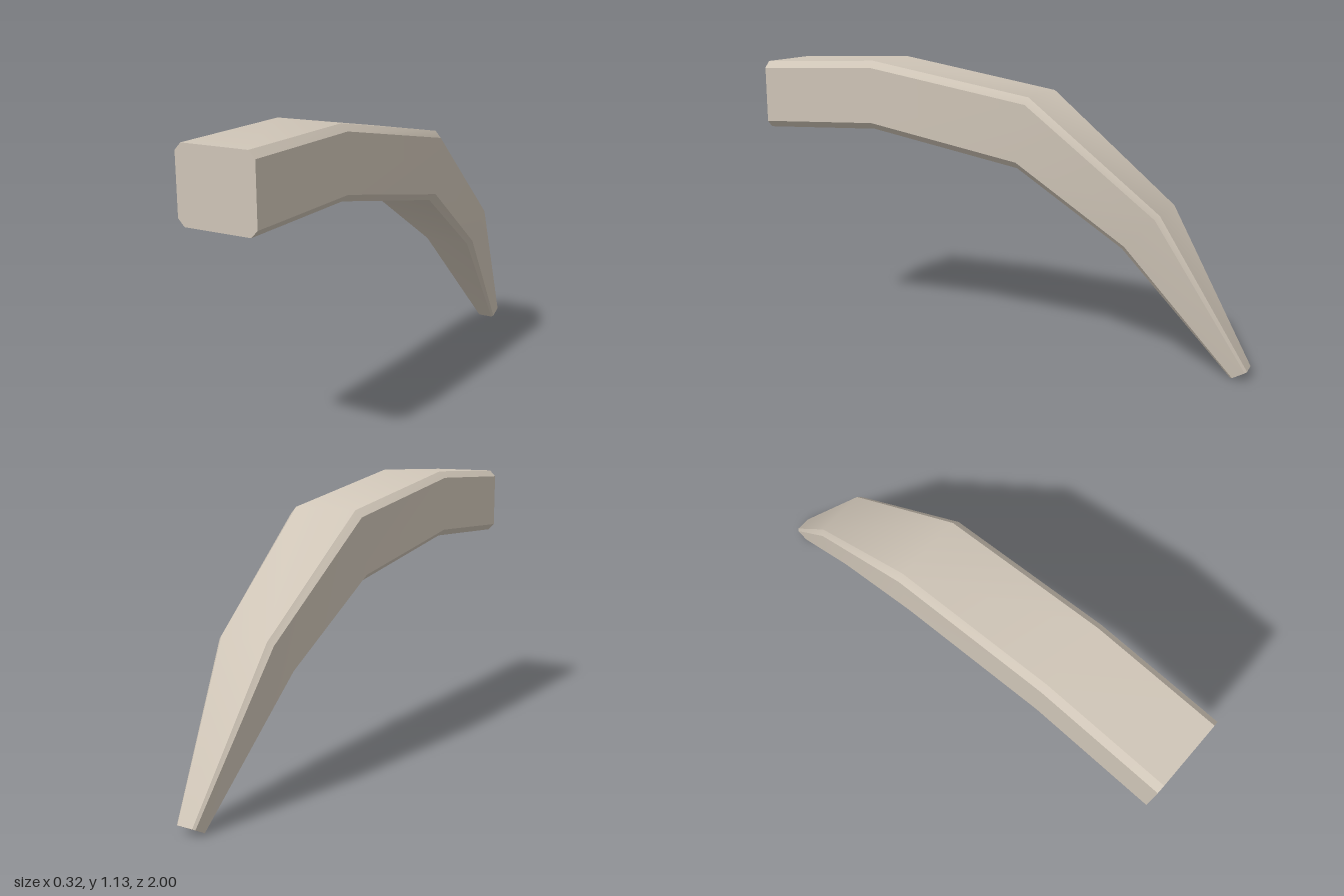
import * as THREE from 'three';

// Stations along the curve: top (z, y), bottom (z, y), half width, corner chamfer
const STATIONS = [
  { top: [1.0, 1.112], bottom: [1.0, 0.84], half: 0.16, chamfer: 0.026 },
  { top: [0.5, 1.13], bottom: [0.5, 0.86], half: 0.16, chamfer: 0.026 },
  { top: [-0.165, 1.018], bottom: [-0.12, 0.748], half: 0.16, chamfer: 0.026 },
  { top: [-0.67, 0.608], bottom: [-0.53, 0.47], half: 0.118, chamfer: 0.019 },
  { top: [-1.0, 0.037], bottom: [-0.94, 0.003], half: 0.04, chamfer: 0.008 },
];

// Chamfered rectangle, counterclockwise seen from the front
function ring({ top, bottom, half, chamfer }) {
  const height = Math.hypot(top[0] - bottom[0], top[1] - bottom[1]);
  const t = chamfer / height;
  const inner = half - chamfer;
  return [
    [inner, 0], [half, t], [half, 1 - t], [inner, 1],
    [-inner, 1], [-half, 1 - t], [-half, t], [-inner, 0],
  ].map(([x, v]) => [
    x,
    THREE.MathUtils.lerp(bottom[1], top[1], v),
    THREE.MathUtils.lerp(bottom[0], top[0], v),
  ]);
}

function makeGeometry(points, index) {
  const geometry = new THREE.BufferGeometry();
  geometry.setAttribute('position', new THREE.Float32BufferAttribute(points.flat(), 3));
  geometry.setIndex(index);
  geometry.computeVertexNormals();
  return geometry;
}

// One face running the whole length: smooth lengthwise, sharp at its sides
function stripGeometry(rings, j) {
  const k = (j + 1) % rings[0].length;
  const points = rings.flatMap((r) => [r[j], r[k]]);
  const index = [];
  for (let i = 0; i < rings.length - 1; i++) {
    const a = i * 2;
    index.push(a, a + 3, a + 1, a, a + 2, a + 3);
  }
  return makeGeometry(points, index);
}

// Flat end cap
function capGeometry(points) {
  const index = [];
  for (let i = 1; i < points.length - 1; i++) index.push(0, i, i + 1);
  return makeGeometry(points, index);
}

export function createModel() {
  const model = new THREE.Group();
  model.name = 'curvedClaw';
  const bone = new THREE.MeshStandardMaterial({ color: 0xcfc5b7 });
  bone.name = 'bone';

  const add = (name, geometry) => {
    const mesh = new THREE.Mesh(geometry, bone);
    mesh.name = name;
    model.add(mesh);
  };

  const rings = STATIONS.map(ring);
  const faceNames = [
    'lowerLeftBevel', 'leftSide', 'upperLeftBevel', 'topSide',
    'upperRightBevel', 'rightSide', 'lowerRightBevel', 'underside',
  ];
  faceNames.forEach((name, j) => add(name, stripGeometry(rings, j)));

  add('baseCap', capGeometry(rings[0]));
  add('tipCap', capGeometry([...rings[rings.length - 1]].reverse()));
  return model;
}
